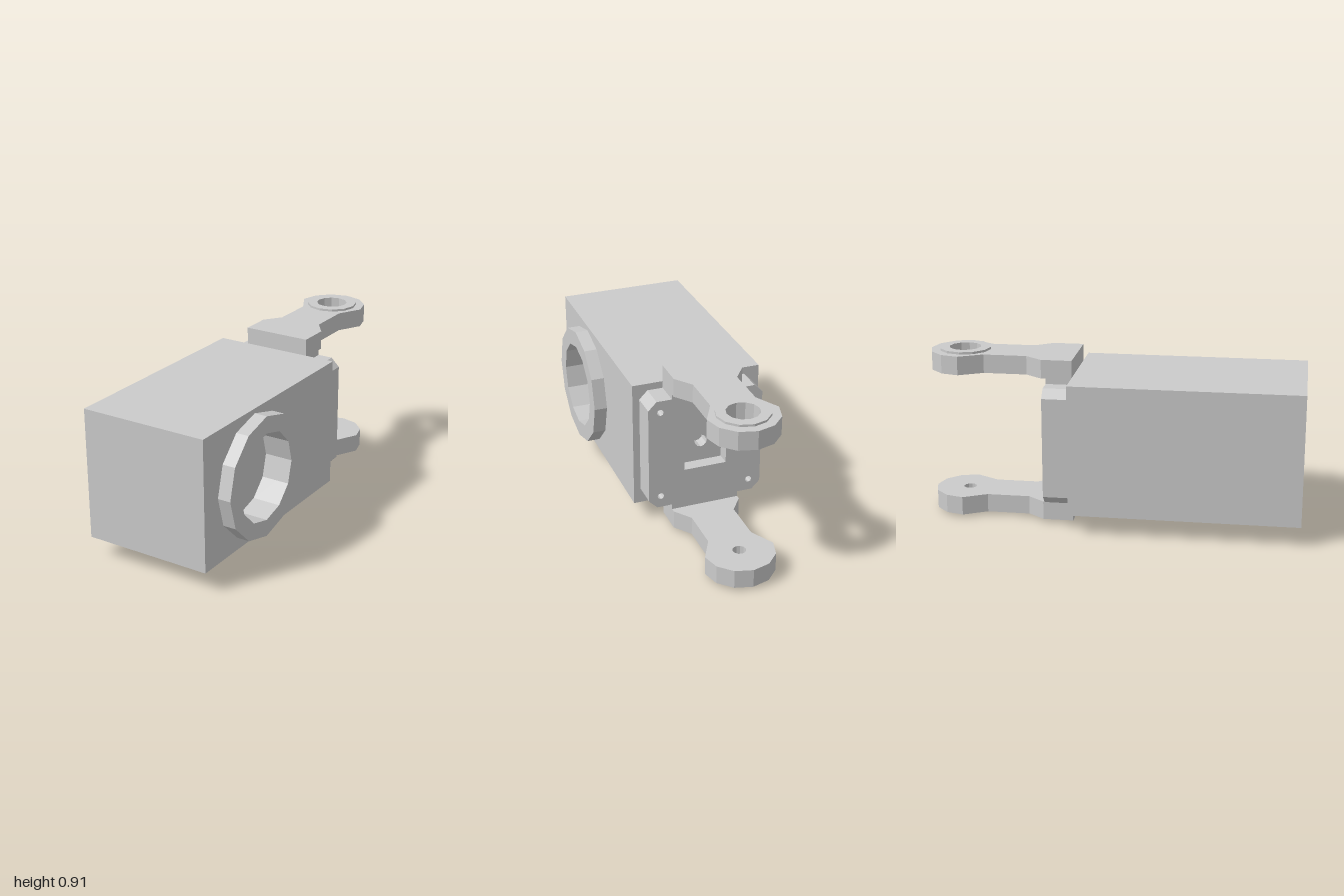
import * as THREE from 'three';

const CX = -0.037;            // centre line of housing, plate and arms
const CY = 0.456;             // mid height of the housing
const PIVOT_Z = -0.815;       // pivot axis of the two arms

const material = new THREE.MeshStandardMaterial({ color: 0xcccccc, flatShading: true });

function polygon(cx, cy, r, sides = 12) {
  return Array.from({ length: sides }, (_, i) => {
    const a = (i / sides) * Math.PI * 2;
    return new THREE.Vector2(cx + r * Math.cos(a), cy + r * Math.sin(a));
  });
}

const points = (pairs) => pairs.map(([x, y]) => new THREE.Vector2(x, y));

const rectangle = (x0, y0, x1, y1) => points([[x0, y0], [x1, y0], [x1, y1], [x0, y1]]);

// Extrude an outline with holes along +z
function slab(outline, holes, depth) {
  const shape = new THREE.Shape(outline);
  shape.holes = holes.map((h) => new THREE.Path(h));
  return new THREE.ExtrudeGeometry(shape, { depth, bevelEnabled: false });
}

export function createModel() {
  const model = new THREE.Group();
  model.name = 'cameraHousingWithBracket';

  const add = (name, geometry, parent = model) => {
    const mesh = new THREE.Mesh(geometry, material);
    mesh.name = name;
    parent.add(mesh);
    return mesh;
  };

  // Housing: solid block plus a side wall with a round recess
  const housing = new THREE.Group();
  housing.name = 'housing';
  model.add(housing);
  const floorX = 0.23, sideX = 0.312;
  add('housingBlock', new THREE.BoxGeometry(floorX + 0.385, 0.699, 1.208)
    .translate((floorX - 0.385) / 2, CY, 0.396), housing);
  const recess = polygon(-0.56, CY, 0.235);
  add('housingSideWall', slab(rectangle(-1, CY - 0.3495, 0.208, CY + 0.3495), [recess], sideX - floorX)
    .rotateY(Math.PI / 2).translate(floorX, 0, 0), housing);

  // Raised ring around the recess
  add('sideRing', slab(polygon(-0.56, CY, 0.325), [recess], 0.382 - sideX)
    .rotateY(Math.PI / 2).translate(sideX, 0, 0));

  // Rear plate: chamfered square with a neck reaching both arms
  const w = 0.312, c = 0.267, n = 0.185, h = 0.349;
  const quarter = [[w, c], [c, w], [n, w], [n, h]];
  const outline = points([
    ...quarter,
    ...quarter.map(([x, y]) => [-x, y]).reverse(),
    ...quarter.map(([x, y]) => [-x, -y]),
    ...quarter.map(([x, y]) => [x, -y]).reverse(),
  ]);
  const screwHoles = [];
  for (const sx of [-1, 1]) for (const sy of [-1, 1]) {
    screwHoles.push(polygon(sx * 0.247, sy * 0.247, 0.018, 8));
  }
  const plate = new THREE.Group();
  plate.name = 'rearPlate';
  plate.position.set(CX, CY, 0);
  model.add(plate);
  // Outer layer holds the square pocket, inner layer the small round hole
  add('plateOuterLayer', slab(outline, [...screwHoles, rectangle(-0.115, -0.115, 0.115, 0.115)], 0.07)
    .translate(0, 0, -0.345), plate);
  add('plateInnerLayer', slab(outline, [...screwHoles, polygon(0, 0, 0.035)], 0.067)
    .translate(0, 0, -0.275), plate);

  // Arms: wide root, tapered neck and a twelve-sided eye (second axis is -z)
  const side = [[0.185, 0.208], [0.185, 0.37], [0.118, 0.46], [0.118, 0.69]];
  const eye = polygon(0, -PIVOT_Z, 0.185).slice(0, 7).map((p) => [p.x, p.y]);
  const armOutline = points([...side, ...eye, ...side.map(([x, y]) => [-x, y]).reverse()]);

  function addArm(name, armY, bossY, bossHeight, bossRadius, holeRadius) {
    const arm = new THREE.Group();
    arm.name = name;
    arm.position.x = CX;
    model.add(arm);
    const hole = polygon(0, -PIVOT_Z, holeRadius);
    add(name + 'Body', slab(armOutline, [hole], 0.1)
      .rotateX(-Math.PI / 2).translate(0, armY, 0), arm);
    add(name + 'Boss', slab(polygon(0, -PIVOT_Z, bossRadius), [hole], bossHeight)
      .rotateX(-Math.PI / 2).translate(0, bossY, 0), arm);
  }
  addArm('upperArm', 0.796, 0.896, 0.012, 0.138, 0.085);
  addArm('lowerArm', 0.015, 0, 0.015, 0.091, 0.035);

  return model;
}
